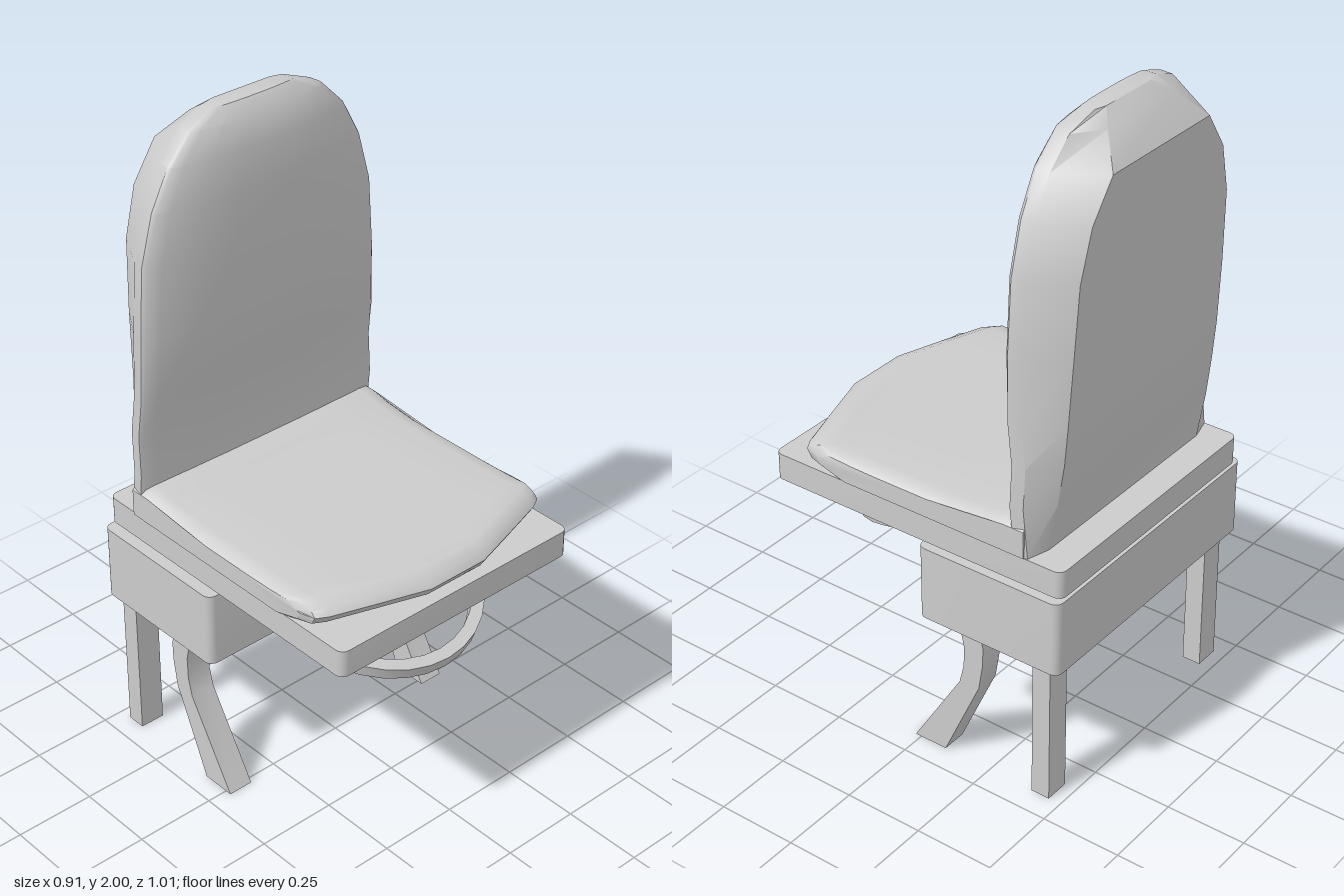
import * as THREE from 'three';
import { toCreasedNormals } from 'three/addons/utils/BufferGeometryUtils.js';

const V = (x, y, z) => new THREE.Vector3(x, y, z);
const material = new THREE.MeshStandardMaterial({ color: 0xcccccc, side: THREE.DoubleSide });

// Skin a series of closed rings (counter-clockwise about the travel direction)
function loft(name, rings, { capStart = false, capEnd = false, crease = 0.6 } = {}) {
  const pos = [];
  const tri = (...pts) => pts.forEach(p => pos.push(p.x, p.y, p.z));
  const n = rings[0].length;
  for (let i = 0; i < rings.length - 1; i++) {
    for (let j = 0; j < n; j++) {
      const k = (j + 1) % n;
      const a = rings[i][j], b = rings[i][k], c = rings[i + 1][k], d = rings[i + 1][j];
      tri(a, b, c);
      tri(a, c, d);
    }
  }
  const cap = (ring, flip) => {
    const mid = ring.reduce((s, p) => s.add(p), V(0, 0, 0)).divideScalar(n);
    ring.forEach((p, j) => {
      const q = ring[(j + 1) % n];
      flip ? tri(mid, q, p) : tri(mid, p, q);
    });
  };
  if (capStart) cap(rings[0], true);
  if (capEnd) cap(rings[rings.length - 1], false);
  let geo = new THREE.BufferGeometry();
  geo.setAttribute('position', new THREE.Float32BufferAttribute(pos, 3));
  geo.computeVertexNormals();
  geo = toCreasedNormals(geo, crease);
  const mesh = new THREE.Mesh(geo, material);
  mesh.name = name;
  return mesh;
}

// Horizontal rounded rectangle between two x and two z limits
function roundedRing(x0, x1, z0, z1, y, r = 0.025, steps = 4) {
  const pts = [];
  const corners = [[x1 - r, z1 - r], [x1 - r, z0 + r], [x0 + r, z0 + r], [x0 + r, z1 - r]];
  corners.forEach(([cx, cz], q) => {
    for (let i = 0; i <= steps; i++) {
      const a = (q + i / steps) * Math.PI / 2;
      pts.push(V(cx + r * Math.sin(a), y, cz + r * Math.cos(a)));
    }
  });
  return pts;
}

function seatCushion() {
  // half stations: x, front edge z, drop of the top at the side
  const half = [[0.1, 0.502, 0], [0.25, 0.455, 0], [0.39, 0.41, 0.002], [0.425, 0.39, 0.007], [0.439, 0.345, 0.02]];
  const stations = [...half.map(([x, z, d]) => [-x, z, d]).reverse(), ...half];
  const rings = stations.map(([x, f, d]) => [
    [-0.38, 0.80], [-0.38, 0.905 - d], [-0.31, 0.905 - d], [-0.25, 0.892 - d], [-0.13, 0.88 - d],
    [f - 0.22, 0.88 - d], [f - 0.1, 0.882 - d], [f - 0.05, 0.886 - d], [f - 0.015, 0.872 - d],
    [f, 0.85], [f - 0.015, 0.825], [f - 0.1, 0.80],
  ].map(([z, y]) => V(x + 0.002, y, z)));
  return loft('seatCushion', rings, { capStart: true, capEnd: true, crease: 0.75 });
}

function backrest() {
  // y, half width, front z, side edge z, rear z, rear panel half width
  const levels = [
    [0.80, 0.439, -0.33, -0.35, -0.41, 0.36],
    [0.95, 0.439, -0.325, -0.335, -0.435, 0.36],
    [1.08, 0.437, -0.325, -0.34, -0.452, 0.355],
    [1.20, 0.434, -0.297, -0.325, -0.462, 0.355],
    [1.40, 0.428, -0.272, -0.32, -0.473, 0.35],
    [1.62, 0.413, -0.265, -0.32, -0.482, 0.34],
    [1.77, 0.372, -0.263, -0.32, -0.488, 0.30],
    [1.885, 0.312, -0.27, -0.32, -0.492, 0.22],
    [1.965, 0.235, -0.29, -0.325, -0.425, 0.15],
    [2.0, 0.14, -0.325, -0.335, -0.385, 0.10],
  ];
  const rings = levels.map(([y, w, f, e, b, wb]) => {
    const side = [
      [0.3 * w, f], [0.6 * w, f + (e - f) * 0.15], [0.88 * w, f + (e - f) * 0.5],
      [0.98 * w, f + (e - f) * 0.8], [w, e], [0.985 * w, e - 0.04], [wb, b],
    ];
    const mirrored = side.map(([x, z]) => [-x, z]).reverse();
    return [...side, ...mirrored].map(([x, z]) => V(x + 0.002, y, z));
  });
  return loft('backrest', rings, { capStart: true, capEnd: true });
}

// Bent front leg: front z, front y, rear z, rear y up the leg
function frontLeg(x0, x1) {
  const edges = [
    [0.02, 0, -0.09, 0], [-0.145, 0.27, -0.213, 0.275], [-0.16, 0.33, -0.227, 0.36],
    [-0.162, 0.40, -0.229, 0.42], [-0.15, 0.455, -0.215, 0.485],
    [-0.12, 0.505, -0.17, 0.55], [-0.07, 0.53, -0.10, 0.585],
  ];
  const rings = edges.map(([fz, fy, rz, ry]) =>
    [V(x1, fy, fz), V(x1, ry, rz), V(x0, ry, rz), V(x0, fy, fz)]);
  return loft('frontLeg', rings);
}

function rearLeg(x0, x1) {
  const ring = y => [V(x1, y, -0.40), V(x1, y, -0.46), V(x0, y, -0.46), V(x0, y, -0.40)];
  return loft('rearLeg', [ring(0), ring(0.69)]);
}

// U-shaped bar: straight arms, half-circle front, sloping down past the arms
function footHandle() {
  const R = 0.317, zc = 0.137, path = [];
  const arms = [-0.08, 0.07, 0.11];
  arms.forEach(z => path.push([R, z, 1, 0]));
  for (let i = 0; i <= 16; i++) {
    const a = i / 16 * Math.PI;
    path.push([R * Math.cos(a), zc + R * Math.sin(a), Math.cos(a), Math.sin(a)]);
  }
  [...arms].reverse().forEach(z => path.push([-R, z, -1, 0]));
  const rings = path.map(([x, z, sx, sz]) => {
    const t = THREE.MathUtils.clamp((z - 0.07) / 0.12, 0, 1);
    const slope = -0.367 * t;
    const y = 0.657 - 0.367 * (t < 1 ? 0.06 * t * t : z - 0.13);
    const centre = V(x - 0.001, y, z);
    const up = V(0, 1, -slope).normalize().multiplyScalar(0.02);
    const out = V(sx, sz * slope, sz).normalize().multiplyScalar(0.019);
    return [[1, -1], [1, 1], [-1, 1], [-1, -1]].map(([s, u]) =>
      centre.clone().addScaledVector(out, s).addScaledVector(up, u));
  });
  return loft('footHandle', rings, { crease: 0.5 });
}

export function createModel() {
  const group = new THREE.Group();
  group.name = 'seat';

  group.add(seatCushion(), backrest());

  // Flat board under the cushion
  group.add(loft('seatBoard',
    [0.715, 0.80].map(y => roundedRing(-0.43, 0.438, -0.504, 0.505, y)),
    { capStart: true, capEnd: true }));

  // Thin-walled housing, open underneath
  group.add(loft('rearHousing',
    [0.466, 0.702].map(y => roundedRing(-0.457, 0.452, -0.504, -0.023, y)),
    { capEnd: true }));

  group.add(footHandle());

  // Hollow legs on both sides
  for (const [x0, x1] of [[-0.434, -0.354], [0.344, 0.423]]) {
    group.add(frontLeg(x0, x1), rearLeg(x0, x1));
  }
  return group;
}
